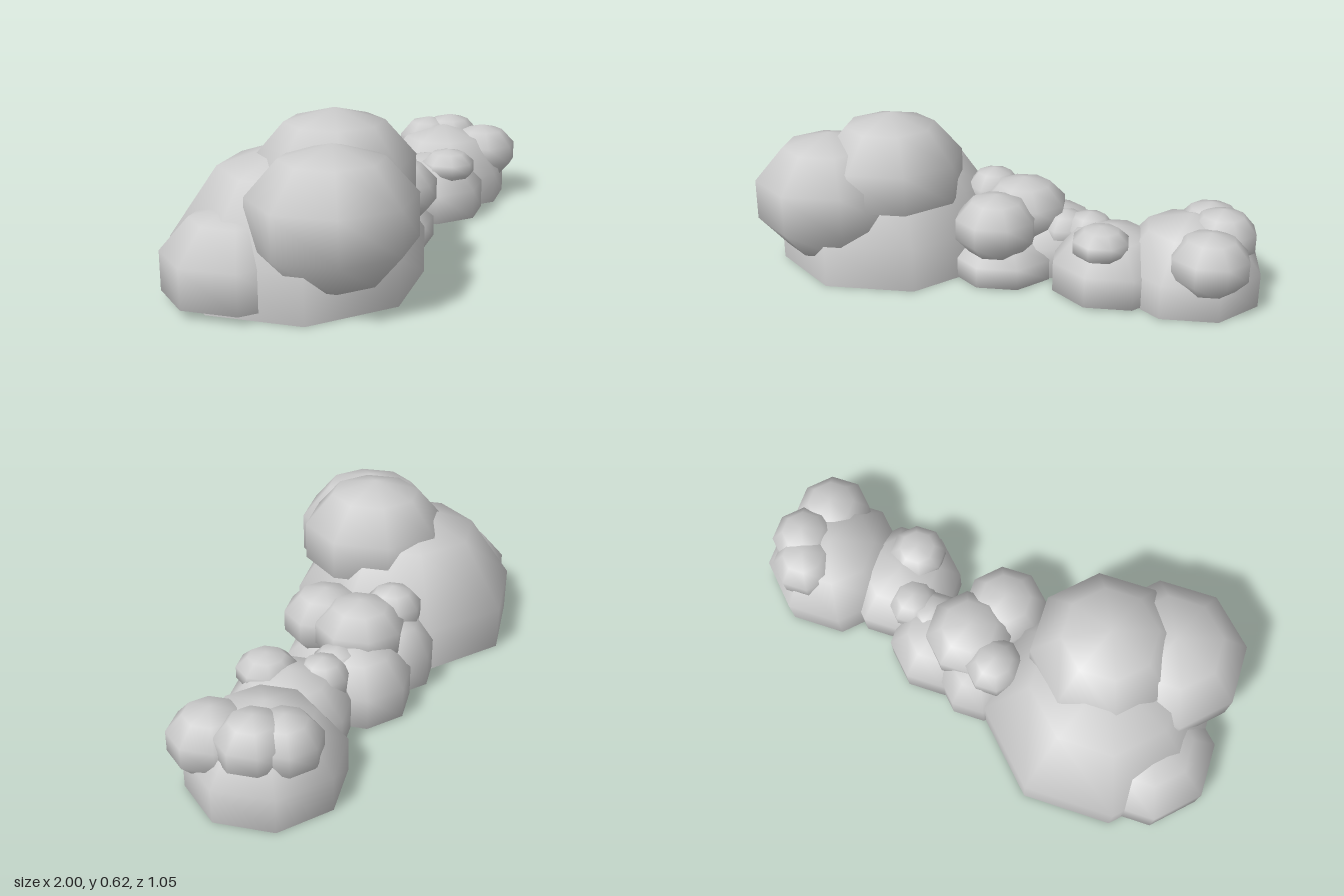
import * as THREE from 'three';

const RINGS = 5;
const WIDEST = Math.sin((2 * Math.PI) / RINGS);

// name, x, centre y, z, widest radius, half height, floor height (0 if left out)
const PUFFS = [
  // large clump
  ['largeDome', -0.48, 0.015, -0.02, 0.45, 0.5],
  ['largeTopPuff', -0.4, 0.37, 0.085, 0.285, 0.25, 0.298],
  ['largeFrontPuff', -0.585, 0.3, 0.235, 0.29, 0.25],
  ['largeSidePuff', -0.735, 0.1, -0.06, 0.265, 0.23],
  // middle clump
  ['middleFrontDome', 0.03, 0.045, -0.05, 0.205, 0.13],
  ['middleBackDome', -0.05, 0.08, -0.235, 0.165, 0.2],
  ['middleSideDome', 0.165, 0.065, -0.23, 0.2, 0.19],
  ['middleFrontPuff', 0.035, 0.212, 0.015, 0.16, 0.13],
  ['middleTopPuff', 0.06, 0.23, -0.165, 0.17, 0.13],
  ['middleInnerPuff', -0.1, 0.26, -0.205, 0.11, 0.1],
  // linking clump
  ['linkInnerPuff', 0.235, 0.165, -0.185, 0.1, 0.085],
  ['linkOuterPuff', 0.335, 0.17, -0.195, 0.1, 0.09],
  ['linkDome', 0.455, 0.065, -0.135, 0.232, 0.19],
  ['linkTopPuff', 0.455, 0.21, -0.035, 0.11, 0.073],
  // end clump
  ['endDome', 0.723, 0.045, -0.25, 0.277, 0.27],
  ['endFrontPuff', 0.845, 0.188, -0.122, 0.148, 0.122],
  ['endMiddlePuff', 0.83, 0.226, -0.29, 0.13, 0.113, 0.18],
  ['endBackPuff', 0.76, 0.215, -0.36, 0.13, 0.115],
].map(([name, x, cy, z, r, h, floor = 0]) => ({ name, x, cy, z, r, h, floor }));

// Rounded eight-sided puff, open underneath and flattened at its floor height.
function puffGeometry({ x, cy, z, r, h, floor }) {
  const points = [];
  for (let i = 0; i < RINGS; i++) {
    const a = (i * Math.PI) / RINGS;
    const y = cy + h * Math.cos(a);
    points.push(new THREE.Vector2((r * Math.sin(a)) / WIDEST, Math.max(y, floor)));
    if (y < floor) break;
  }
  points.reverse(); // bottom to top, so faces point outwards
  const geometry = new THREE.LatheGeometry(points, 8);

  // ellipsoid normals keep the crown smooth
  const pos = geometry.attributes.position;
  const n = new THREE.Vector3();
  for (let i = 0; i < pos.count; i++) {
    n.set(pos.getX(i) / (r * r), (pos.getY(i) - cy) / (h * h), pos.getZ(i) / (r * r)).normalize();
    geometry.attributes.normal.setXYZ(i, n.x, n.y, n.z);
  }
  return geometry.translate(x, 0, z);
}

// True when a point lies safely within a puff's faceted shell.
function isInside(p, { x, cy, z, r, h, floor }) {
  if (p.y < Math.max(floor, cy - 0.8 * h)) return false;
  const radial = Math.hypot(p.x - x, p.z - z) / r;
  return Math.hypot(radial, (p.y - cy) / h) < 0.92;
}

// Drops the triangles buried in a neighbouring puff, leaving the clump hollow.
function removeBuried(geometry, puff) {
  const pos = geometry.attributes.position;
  const index = geometry.index.array;
  const others = PUFFS.filter((other) => other !== puff);
  const kept = [];
  for (let i = 0; i < index.length; i += 3) {
    const tri = [index[i], index[i + 1], index[i + 2]];
    const corners = tri.map((v) => new THREE.Vector3().fromBufferAttribute(pos, v));
    const buried = others.some((other) => corners.every((c) => isInside(c, other)));
    if (!buried) kept.push(...tri);
  }
  geometry.setIndex(kept);
  return geometry;
}

export function createModel() {
  const group = new THREE.Group();
  group.name = 'puffCluster';
  const grey = new THREE.MeshStandardMaterial({ color: 0xcccccc, side: THREE.DoubleSide });
  grey.name = 'light grey';

  for (const puff of PUFFS) {
    const mesh = new THREE.Mesh(removeBuried(puffGeometry(puff), puff), grey);
    mesh.name = puff.name;
    group.add(mesh);
  }
  return group;
}
